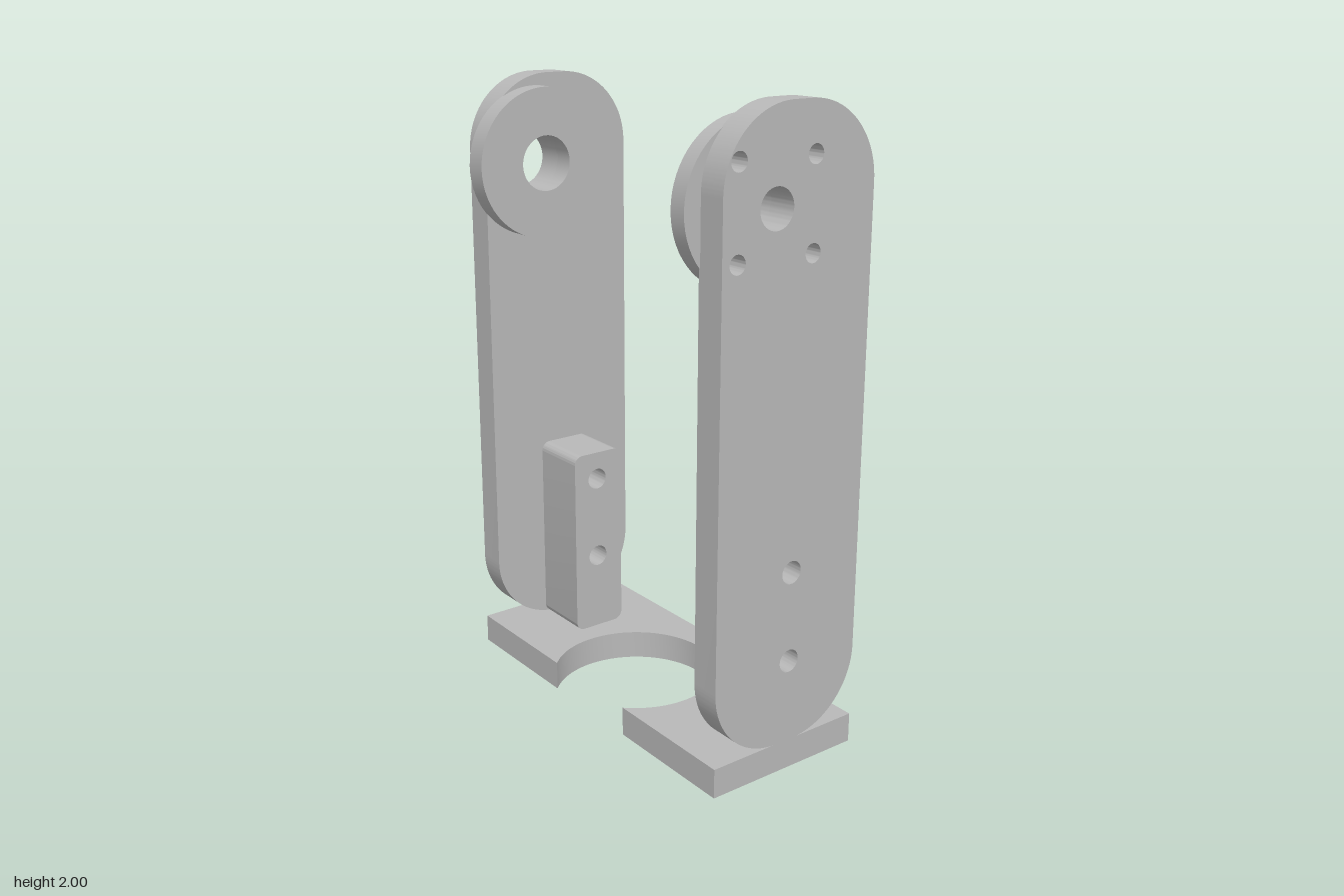
import * as THREE from 'three';
import { toCreasedNormals } from 'three/addons/utils/BufferGeometryUtils.js';

const grey = new THREE.MeshStandardMaterial({ color: 0xb8b8b8 });
grey.name = 'plain grey';

const OUTER = 0.643, INNER = 0.547;      // side plate faces along x
const BACK = -0.301, FRONT = 0.245;      // plate and base extent along z
const BASE_TOP = 0.095;
const PIVOT = { z: 0.057, y: 1.717 };    // axis of the top bearing discs
const BOLT = 0.135;                      // half spacing of the bolt square

const boltHoles = [[1, 1], [1, -1], [-1, 1], [-1, -1]]
  .map(([a, b]) => [PIVOT.z + a * BOLT, PIVOT.y + b * BOLT, 0.028]);
const mountHoles = [[-0.036, 0.645, 0.036], [-0.036, 0.36, 0.036]];

// Side profiles are drawn with u = -z and v = y, then extruded along x
function roundedProfile(z0, z1, y0, y1, r) {
  const s = new THREE.Shape();
  const u0 = -z1, u1 = -z0;
  s.moveTo(u0 + r, y0);
  s.lineTo(u1 - r, y0);
  s.absarc(u1 - r, y0 + r, r, -Math.PI / 2, 0, false);
  s.lineTo(u1, y1 - r);
  s.absarc(u1 - r, y1 - r, r, 0, Math.PI / 2, false);
  s.lineTo(u0 + r, y1);
  s.absarc(u0 + r, y1 - r, r, Math.PI / 2, Math.PI, false);
  s.lineTo(u0, y0 + r);
  s.absarc(u0 + r, y0 + r, r, Math.PI, Math.PI * 1.5, false);
  return s;
}

function discProfile(z, y, r) {
  return new THREE.Shape().absarc(-z, y, r, 0, Math.PI * 2, false);
}

function extrude(shape, depth) {
  return new THREE.ExtrudeGeometry(shape, { depth, bevelEnabled: false, curveSegments: 32 });
}

function addMesh(parent, geometry, name) {
  const mesh = new THREE.Mesh(toCreasedNormals(geometry, 0.5), grey);
  mesh.name = name;
  parent.add(mesh);
}

// Solid between two x positions with round holes [z, y, radius]
function addSidePart(parent, name, shape, xa, xb, holes) {
  for (const [z, y, r] of holes) {
    shape.holes.push(new THREE.Path().absarc(-z, y, r, 0, Math.PI * 2, true));
  }
  const geometry = extrude(shape, Math.abs(xb - xa));
  geometry.rotateY(Math.PI / 2).translate(Math.min(xa, xb), 0, 0);
  addMesh(parent, geometry, name);
}

// Flat base with a round cut-out that breaks through the front edge
function addBase(parent) {
  const r = 0.267, cz = 0.055;
  const a = Math.asin((FRONT - cz) / r);
  const s = new THREE.Shape();           // u = x, v = -z
  const mouth = r * Math.cos(a);
  s.moveTo(-OUTER, -FRONT);
  s.lineTo(-mouth, -FRONT);
  s.absarc(0, -cz, r, Math.PI + a, -a, true);
  s.lineTo(OUTER, -FRONT);
  s.lineTo(OUTER, -BACK);
  s.lineTo(-OUTER, -BACK);
  s.closePath();
  const geometry = extrude(s, BASE_TOP);
  geometry.rotateX(-Math.PI / 2);
  addMesh(parent, geometry, 'base');
}

export function createModel() {
  const model = new THREE.Group();
  model.name = 'bracket';
  addBase(model);

  // The right arm has a thicker disc with a wide bore and no bolt holes
  const arms = [
    { name: 'left', sign: 1, bore: 0.06, discEnd: 0.495, discBolts: boltHoles },
    { name: 'right', sign: -1, bore: 0.09, discEnd: 0.478, discBolts: [] },
  ];
  for (const { name, sign, bore, discEnd, discBolts } of arms) {
    const arm = new THREE.Group();
    arm.name = name + 'Arm';
    const boreHole = [PIVOT.z, PIVOT.y, bore];
    addSidePart(arm, name + 'SidePlate', roundedProfile(BACK, FRONT, BASE_TOP, 2, 0.24),
      sign * INNER, sign * OUTER, [boreHole, ...boltHoles, ...mountHoles]);
    addSidePart(arm, name + 'BearingDisc', discProfile(PIVOT.z, PIVOT.y, 0.244),
      sign * discEnd, sign * 0.552, [boreHole, ...discBolts]);
    addSidePart(arm, name + 'MountBlock', roundedProfile(-0.135, 0.055, BASE_TOP, 0.74, 0.03),
      sign * 0.345, sign * INNER, mountHoles);
    model.add(arm);
  }
  return model;
}
